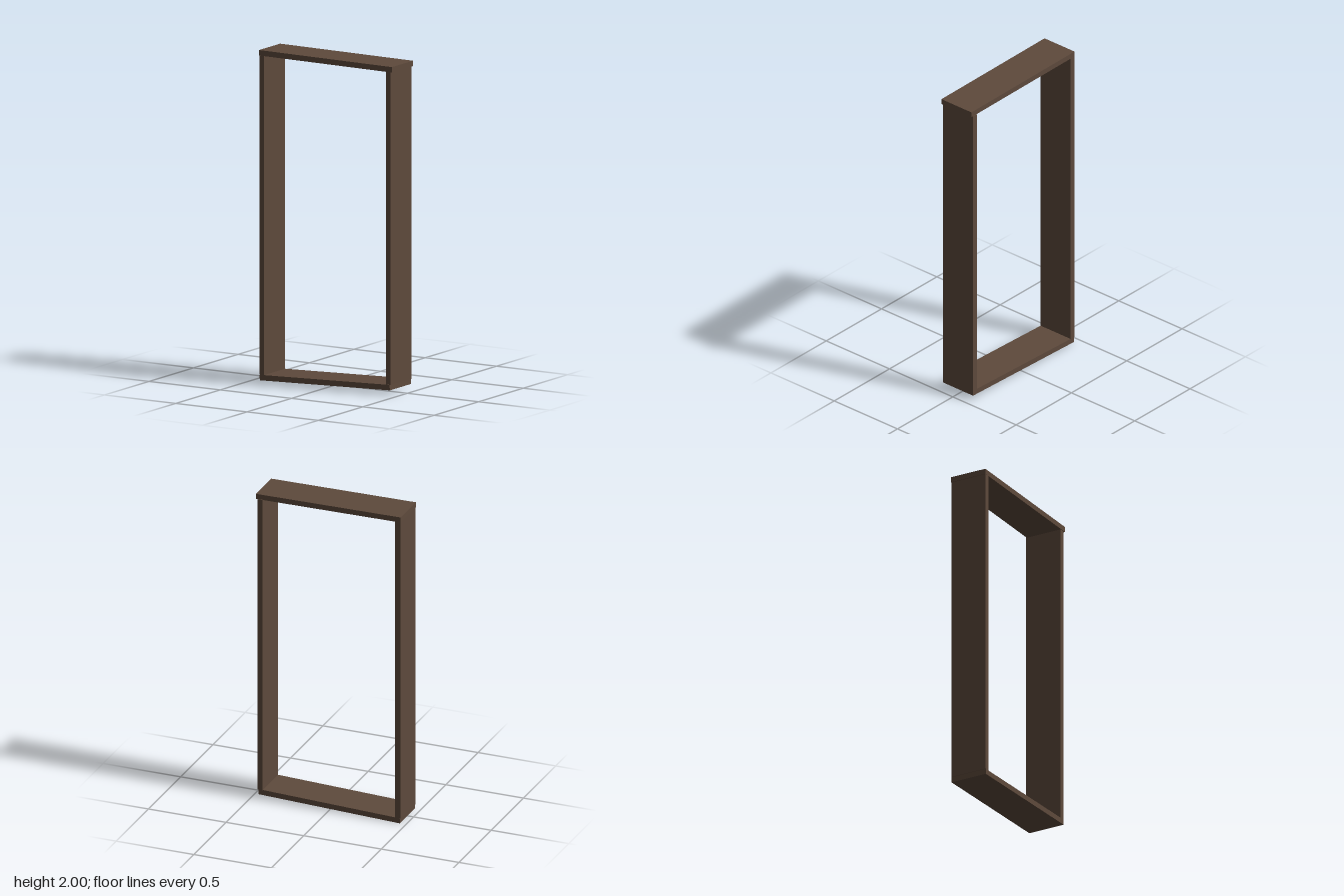
import * as THREE from 'three';

// Slightly crooked four-board wooden frame
export function createModel() {
  const model = new THREE.Group();
  const wood = new THREE.MeshStandardMaterial({ color: 0x5e4a3c, flatShading: true });
  const depth = 0.237, thick = 0.033;

  // A board whose centre line runs from (x0, y0) to (x1, y1)
  function board(name, x0, y0, x1, y1, z) {
    const length = Math.hypot(x1 - x0, y1 - y0);
    const mesh = new THREE.Mesh(new THREE.BoxGeometry(length, thick, depth), wood);
    mesh.name = name;
    mesh.position.set((x0 + x1) / 2, (y0 + y1) / 2, z);
    mesh.rotation.z = Math.atan2(y1 - y0, x1 - x0);
    model.add(mesh);
  }

  board('topBoard', -0.466, 1.984, 0.466, 1.976, 0.001);
  board('bottomBoard', -0.461, 0.0168, 0.451, 0.049, 0.001);
  board('rightPost', -0.447, 0.034, -0.447, 1.967, 0.001);
  board('leftPost', 0.438, 0.064, 0.438, 1.961, -0.003);

  return model;
}
